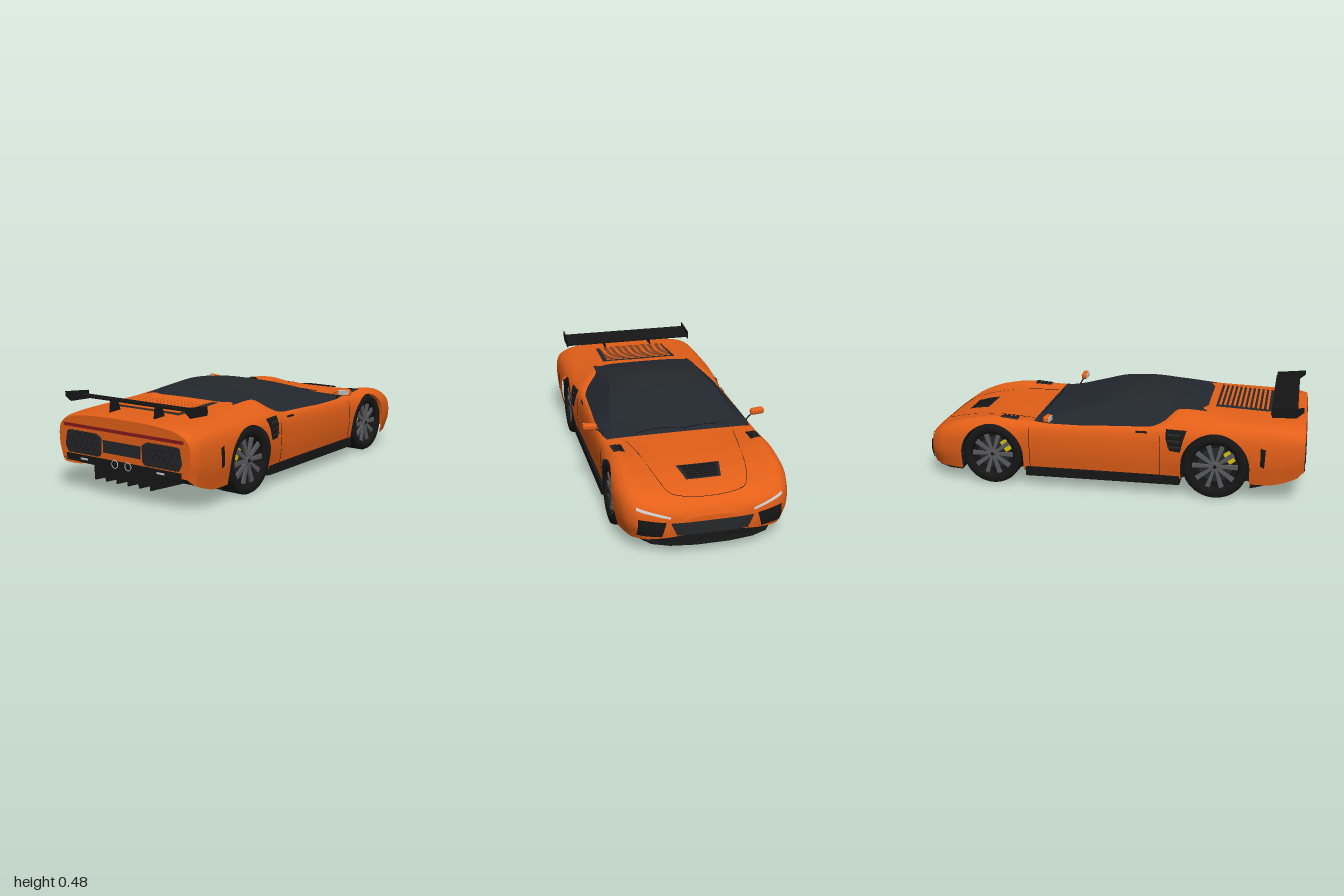
import * as THREE from 'three';
import { RoundedBoxGeometry } from 'three/addons/geometries/RoundedBoxGeometry.js';

const mat = (color) => new THREE.MeshStandardMaterial({ color, side: THREE.DoubleSide });
const ORANGE = mat(0xe25f18), BLACK = mat(0x161617), DARK = mat(0x26272a), GLASS = mat(0x22272e);
const GREY = mat(0x5a5a5c), YELLOW = mat(0xd8c010), RED = mat(0x86191c), WHITE = mat(0xcccccc);
const WHEELS = [{ name: 'front', z: -0.61, r: 0.157, w: 0.12, out: 0.415 }, { name: 'rear', z: 0.55, r: 0.165, w: 0.14, out: 0.426 }];
const GAP = 0.008;

// Body stations: z, sill x/y, waist x, shoulder x/y, crest x/y, deck x/y, centre y
const BODY = [
  [-1, .10, .10, .13, .125, .16, .11, .175, .07, .185, .187],
  [-.985, .22, .085, .26, .25, .185, .22, .205, .13, .215, .22],
  [-.95, .32, .075, .355, .345, .215, .31, .24, .2, .25, .25],
  [-.88, .375, .07, .402, .395, .25, .36, .285, .25, .285, .28],
  [-.75, .405, .07, .425, .418, .285, .372, .33, .27, .318, .31],
  [-.6, .405, .075, .426, .418, .305, .37, .35, .27, .332, .325],
  [-.4, .395, .08, .412, .407, .305, .38, .337, .27, .328, .328],
  [.2, .40, .085, .412, .405, .31, .385, .343, .28, .335, .335],
  [.36, .405, .085, .426, .415, .325, .375, .375, .30, .42, .41],
  [.55, .415, .085, .437, .425, .33, .378, .38, .285, .408, .415],
  [.8, .418, .085, .437, .423, .33, .378, .375, .27, .395, .402],
  [.95, .412, .125, .43, .417, .33, .368, .368, .26, .388, .395],
  [.99, .39, .16, .41, .4, .325, .352, .36, .25, .38, .388]];
// Cabin stations: z, belt x/y, roof edge x/y, centre y
const CABIN = [
  [-.39, .374, .34, .345, .343, .345], [-.3, .387, .335, .332, .358, .373], [-.15, .389, .335, .308, .4, .418],
  [0, .389, .335, .282, .44, .458], [.14, .389, .335, .26, .452, .48], [.3, .378, .345, .282, .434, .463],
  [.36, .3, .4, .285, .428, .45], [.49, .284, .4, .28, .415, .421]];

// Monotone cubic interpolation of a station table
function stationAt(table, z) {
  const n = table.length;
  let i = 0;
  while (i < n - 2 && z > table[i + 1][0]) i++;
  const h = table[i + 1][0] - table[i][0], t = THREE.MathUtils.clamp((z - table[i][0]) / h, 0, 1);
  const d = (k, c) => (table[k + 1][c] - table[k][c]) / (table[k + 1][0] - table[k][0]);
  const slope = (k, c) => {
    if (k === 0) return d(0, c);
    if (k === n - 1) return d(n - 2, c);
    const a = d(k - 1, c), b = d(k, c);
    return a * b <= 0 ? 0 : 2 * a * b / (a + b);
  };
  return table[i].map((v, c) => c === 0 ? z : (2 * t ** 3 - 3 * t * t + 1) * v + (t ** 3 - 2 * t * t + t) * h * slope(i, c)
    + (3 * t * t - 2 * t ** 3) * table[i + 1][c] + (t ** 3 - t * t) * h * slope(i + 1, c));
}

// Half section of the body as a polyline from sill to centre line
const cache = new Map();
function section(z) {
  if (!cache.has(z)) {
    const [, x0, y0, x1, x2, y2, x3, y3, x4, y4, y5] = stationAt(BODY, z);
    const pts = [[x0, y0], [x1, y0 + .5 * (y2 - y0)], [x2, y2], [x3, y3], [x4, y4], [0, y5], [-x4, y4]];
    const curve = new THREE.CatmullRomCurve3(pts.map(([x, y]) => new THREE.Vector3(x, y, z)));
    cache.set(z, Array.from({ length: 61 }, (_, i) => curve.getPoint(i / 60 * 5 / 6)));
  }
  return cache.get(z);
}
function paramAtY(y, z) {
  const s = section(z);
  if (y <= s[0].y) return 0;
  for (let i = 1; i < 61; i++) if (s[i].y >= y) return i - 1 + (y - s[i - 1].y) / (s[i].y - s[i - 1].y);
  return 60;
}
function pointAt(t, z) {
  const s = section(z), i = Math.min(59, Math.floor(t));
  return s[i].clone().lerp(s[i + 1], t - i);
}
// Projections on to the body from the side, the top and the nose
const sideX = (y, z) => pointAt(paramAtY(y, z), z).x;
function topY(x, z) {
  const s = section(z);
  for (let i = 59; i >= 0; i--) if (s[i].x >= Math.abs(x)) return THREE.MathUtils.lerp(s[i + 1].y, s[i].y, (Math.abs(x) - s[i + 1].x) / (s[i].x - s[i + 1].x));
  return s[0].y;
}
function noseZ(x, y) {
  let a = -1, b = -.6;
  for (let i = 0; i < 14; i++) {
    const m = (a + b) / 2, inside = y <= section(m)[60].y && sideX(y, m) >= Math.abs(x);
    if (inside) b = m; else a = m;
  }
  return b;
}
const onTop = (x, z) => [x, topY(x, z) + .004, z];
const onNose = (x, y) => [x, y, noseZ(x, y) - .007];
const onSide = (s) => (z, y) => [s * (sideX(y, z) + .004), y, z];

// Surface from a grid of points
function grid(nu, nv, fn) {
  const pos = [], idx = [];
  for (let i = 0; i <= nu; i++) for (let j = 0; j <= nv; j++) {
    pos.push(...fn(i / nu, j / nv));
    const a = i * (nv + 1) + j, b = a + nv + 1;
    if (i < nu && j < nv) idx.push(a, b, a + 1, b, b + 1, a + 1);
  }
  const g = new THREE.BufferGeometry();
  g.setAttribute('position', new THREE.Float32BufferAttribute(pos, 3));
  g.setIndex(idx);
  g.computeVertexNormals();
  return g;
}
// Four-cornered panel laid on the body
function patch(c, project) {
  const mix = THREE.MathUtils.lerp;
  return grid(14, 8, (u, v) => project(...[0, 1].map((k) => mix(mix(c[0][k], c[1][k], u), mix(c[3][k], c[2][k], u), v))));
}
const shape = (pts) => new THREE.Shape(pts.map(([x, y]) => new THREE.Vector2(x, y)));
const extrude = (pts, depth) => new THREE.ExtrudeGeometry(shape(pts), { depth, bevelEnabled: false });
// Plate drawn in (z, y) and centred on x; plate drawn in half plan (x, z)
const sidePlate = (pts, x, depth) => extrude(pts, depth).rotateY(-Math.PI / 2).translate(x + depth / 2, 0, 0);
const planPlate = (half, top, depth) => extrude([...half, ...half.map(([x, z]) => [-x, z]).reverse()], depth).rotateX(Math.PI / 2).translate(0, top, 0);

export function createModel() {
  const car = new THREE.Group();
  car.name = 'sportsCar';
  const add = (name, geo, material, parent = car) => {
    const m = new THREE.Mesh(geo, material);
    m.name = name;
    parent.add(m);
  };
  const box = (name, w, h, d, x, y, z, m) => add(name, new THREE.BoxGeometry(w, h, d).translate(x, y, z), m);
  const seam = (name, pts, r = .0013) => add(name, new THREE.TubeGeometry(new THREE.CatmullRomCurve3(pts.map((p) => new THREE.Vector3(...p))), 40, r, 5), BLACK);

  // Body shell in lengths: plain ones, and ones cut away over a wheel; rows above the crest stay fixed
  const shell = (name, n, zAt, lowT) => add(name, grid(n, 64, (u, v) => {
    const z = zAt(u), s = 2 * v - 1, k = Math.abs(s);
    const t = k > .5 ? 36 + (lowT(z) - 36) * (k - .5) * 2 : 60 - 48 * k;
    const p = pointAt(t, z);
    return [Math.sign(s) * p.x, p.y, z];
  }), ORANGE);
  const [fw, rw] = WHEELS.map(({ z, r }) => [z - r - GAP, z + r + GAP]);
  for (const [name, a, b, n] of [['noseTip', -1, -.94, 12], ['nose', -.94, fw[0], 10], ['middle', fw[1], rw[0], 36], ['tail', rw[1], .99, 16]])
    shell(name + 'Shell', n, (u) => a + (b - a) * u, () => 0);
  for (const { name, z, r } of WHEELS) {
    const R = r + GAP;
    shell(name + 'WingShell', 32, (u) => z - R * Math.cos(u * Math.PI), (q) => paramAtY(r + Math.sqrt(Math.max(0, R * R - (q - z) ** 2)), q));
  }
  for (const [name, z] of [['nosePanel', -1], ['tailPanel', .99]]) {
    const half = section(z).map((p) => [p.x, p.y]);
    add(name, new THREE.ShapeGeometry(shape([...half, ...half.slice(0, -1).reverse().map(([x, y]) => [-x, y])])).translate(0, 0, z), ORANGE);
  }

  // Cabin: windscreen, roof and rear window, then side windows
  for (const [name, a, b, m] of [['windscreen', -.39, 0, GLASS], ['roof', 0, .31, DARK], ['rearWindow', .31, .49, GLASS]])
    add(name, grid(14, 20, (u, v) => {
      const z = a + (b - a) * u, [, , , xr, yr, yc] = stationAt(CABIN, z), s = 2 * v - 1;
      return [s * xr, yc + (yr - yc) * s * s, z];
    }), m);
  for (const s of [-1, 1]) add('sideWindow', grid(40, 4, (u, v) => {
    const z = -.39 + .88 * u, [, xb, yb, xr, yr] = stationAt(CABIN, z), k = s > 0 ? v : 1 - v;
    return [s * (xr + (xb - xr) * k), yr + (yb - yr) * k, z];
  }), GLASS);
  for (const x of [-.14, .1]) seam('wiper', [[x - .12, .357, -.365], [x, .362, -.36], [x + .12, .355, -.372]], .002);

  // Floor, splitter and rear diffuser
  add('floor', planPlate([[.30, -.92], [.35, -.85], [.36, -.79], [.28, -.79], [.28, -.43], [.4, -.43], [.4, .37], [.28, .37], [.28, .73]], .09, .04), BLACK);
  add('frontSplitter', planPlate([[.08, -1], [.2, -.982], [.28, -.945], [.33, -.87], [.34, -.8]], .05, .01), BLACK);
  add('splitterRiser', planPlate([[.08, -.98], [.2, -.965], [.28, -.925], [.33, -.86], [.34, -.8]], .11, .06), BLACK);
  add('diffuser', grid(8, 2, (u, v) => [(2 * v - 1) * (.405 - .015 * u), .06 + .1 * u ** 1.3, .725 + .265 * u]), BLACK);
  for (const s of [-1, 1]) {
    for (const x of [.035, .105, .175]) add('diffuserFin', sidePlate([[.7, .055], [.99, .075], [.995, .165], [.85, .09]], s * x, .006), BLACK);
    box('sideSkirt', .035, .045, .8, s * .398, .078, -.03, BLACK);
  }

  // Wheels with tyres, spokes, brakes and arch liners
  for (const { name, z, r, w, out } of WHEELS) for (const s of [-1, 1]) {
    const wheel = new THREE.Group();
    wheel.name = name + 'Wheel';
    wheel.position.set(s * (out - w / 2), r, z);
    car.add(wheel);
    const spin = (g) => g.rotateZ(-s * Math.PI / 2);
    const h = w / 2, ri = r * .74;
    const profile = [[ri, -h + .01], [r * .8, -h], [r * .95, -h], [r, -h + .014], [r, h - .014], [r * .95, h], [r * .8, h], [ri, h - .008], [ri - .006, h - .012], [ri - .008, h - .05]];
    add('tyre', spin(new THREE.LatheGeometry(profile.map(([a, b]) => new THREE.Vector2(a, b)), 48)), BLACK, wheel);
    add('rimBack', spin(new THREE.CylinderGeometry(ri, ri, .01, 40).translate(0, h - .055, 0)), BLACK, wheel);
    add('innerFace', spin(new THREE.CylinderGeometry(ri, ri, .01, 40).translate(0, -h + .012, 0)), BLACK, wheel);
    add('brakeDisc', spin(new THREE.CylinderGeometry(ri * .72, ri * .72, .01, 32).translate(0, h - .046, 0)), DARK, wheel);
    add('hub', spin(new THREE.CylinderGeometry(.018, .026, .02, 20).translate(0, h - .02, 0)), GREY, wheel);
    add('hubCap', spin(new THREE.CylinderGeometry(.009, .009, .004, 16).translate(0, h - .009, 0)), BLACK, wheel);
    for (let k = 0; k < 10; k++)
      add('spoke', extrude([[.014, -.006], [ri - .008, -.012], [ri - .008, .012], [.014, .006]], .012).rotateY(Math.PI / 2).translate(s * (h - .02) - .006, 0, 0).rotateX(k * Math.PI / 5), GREY, wheel);
    add('brakeCaliper', new THREE.BoxGeometry(.014, .034, .06).translate(s * (h - .036), ri * .68, 0).rotateX(1), YELLOW, wheel);
    const R = r + GAP, x0 = .265, x1 = .385;
    add('archLiner', grid(24, 1, (u, v) => [s * (x0 + (x1 - x0) * v), r + R * Math.sin(u * Math.PI), z + R * Math.cos(u * Math.PI)]), BLACK);
    add('archWall', new THREE.CircleGeometry(R, 32, 0, Math.PI).rotateY(Math.PI / 2).translate(s * x0, r, z), BLACK);
    box('archWallLower', .004, r - .06, 2 * R, s * x0, (r + .06) / 2, z, BLACK);
  }

  // Nose: grille, intakes and headlights
  add('frontGrille', patch([[-.2, .165], [.2, .165], [.17, .1], [-.17, .1]], onNose), DARK);
  for (const s of [-1, 1]) {
    add('frontIntake', patch([[s * .22, .17], [s * .345, .185], [s * .35, .1], [s * .24, .095]], onNose), BLACK);
    add('headlight', patch([[s * .2, .197], [s * .35, .238], [s * .352, .225], [s * .2, .185]], onNose), WHITE);
  }

  // Bonnet and wing vents, seams
  add('bonnetVent', patch([[-.085, -.835], [.085, -.835], [.108, -.72], [-.108, -.72]], onTop), DARK);
  for (let i = 0; i < 6; i++) box('bonnetVentSlat', .15 + i * .006, .006, .008, 0, topY(0, -.82 + i * .017) + .006, -.82 + i * .017, BLACK);
  seam('bonnetSeam', [[.28, -.41], [.25, -.6], [.22, -.8], [.18, -.91], [.09, -.935], [0, -.94], [-.09, -.935], [-.18, -.91], [-.22, -.8], [-.25, -.6], [-.28, -.41]].map(([x, z]) => [x, topY(x, z), z]));
  for (const s of [-1, 1]) {
    const side = onSide(s);
    add('wingVent', patch([[s * .32, -.57], [s * .375, -.57], [s * .38, -.475], [s * .325, -.475]], onTop), DARK);
    for (let i = 0; i < 4; i++) box('wingVentSlat', .045, .006, .007, s * .345, topY(.345, -.555 + i * .022) + .004, -.555 + i * .022, BLACK);
    add('sideIntake', patch([[.3, .345], [.405, .345], [.39, .3], [.3, .3]], side), BLACK);
    add('sideIntake', patch([[.3, .3], [.39, .3], [.375, .235], [.32, .24]], side), BLACK);
    for (let i = 0; i < 3; i++) add('intakeSlat', patch([[.31, .328 - i * .03], [.375, .325 - i * .03], [.375, .315 - i * .03], [.31, .318 - i * .03]], (z, y) => [side(z, y)[0] + s * .005, y, z]), DARK);
    add('rearSideVent', patch([[.775, .285], [.8, .275], [.795, .18], [.775, .19]], side), BLACK);
    add('doorHandle', patch([[.145, .328], [.205, .328], [.205, .318], [.145, .318]], side), BLACK);
    for (const z of [-.41, .27]) seam('doorSeam', [.1, .16, .22, .28, .31].map((y) => [s * sideX(y, z), y, z]));

    // Door mirrors
    add('mirrorShell', new RoundedBoxGeometry(.074, .035, .034, 4, .014).rotateZ(s * .08).translate(s * .444, .38, -.3), ORANGE);
    add('mirrorGlass', new RoundedBoxGeometry(.064, .027, .006, 3, .0029).rotateZ(s * .08).translate(s * .444, .38, -.284), WHITE);
    seam('mirrorStalk', [[s * .375, .335, -.32], [s * .395, .355, -.31], [s * .425, .372, -.3]], .0035);
  }

  // Louvred engine cover
  add('engineCover', patch([[-.215, .53], [.215, .53], [.205, .82], [-.205, .82]], (x, z) => [x, topY(x, z) + .007, z]), DARK);
  for (let i = 0; i < 11; i++) {
    const z = .55 + i * .024;
    add('louvre', new THREE.BoxGeometry(.38, .004, .012).rotateX(.3).translate(0, topY(0, z) + .011, z), ORANGE);
  }

  // Rear wing
  add('rearWing', sidePlate([[.815, .437], [.87, .443], [.945, .459], [.945, .468], [.87, .456], [.815, .448]], 0, .75), BLACK);
  for (const s of [-1, 1]) {
    add('wingEndPlate', sidePlate([[.82, .425], [.94, .43], [.975, .46], [.975, .483], [.82, .468]], s * .375, .005), BLACK);
    add('wingStrut', sidePlate([[.84, .385], [.92, .385], [.91, .452], [.86, .444]], s * .14, .006), BLACK);
  }

  // Tail: light bar, honeycomb lamps, plate recess, exhausts
  box('lightBar', .75, .015, .012, 0, .327, .989, RED);
  box('plateRecess', .235, .06, .008, 0, .247, .99, DARK);
  box('tailStrip', .72, .035, .008, 0, .168, .99, BLACK);
  for (const s of [-1, 1]) {
    add('tailLamp', extrude([[.13, .21], [.145, .193], [.345, .193], [.365, .225], [.352, .295], [.34, .302], [.16, .302], [.13, .285]].map(([x, y]) => [s * x, y]), .009).translate(0, 0, .987), DARK);
    for (let r = 0; r < 4; r++) for (let c = 0; c < 6 - r % 2; c++)
      add('lampCell', new THREE.RingGeometry(.0165, .0185, 6).rotateZ(Math.PI / 6).translate(s * (.165 + c * .033 + (r % 2) * .0165), .208 + r * .0265, .9965), BLACK);
    add('exhaustRing', new THREE.TorusGeometry(.019, .002, 8, 28).translate(s * .042, .17, .996), WHITE);
    add('exhaustPipe', new THREE.CylinderGeometry(.018, .018, .02, 24).rotateX(Math.PI / 2).translate(s * .042, .17, .986), BLACK);
    box('reverseLight', .045, .009, .008, s * .242, .168, .993, WHITE);
  }
  return car;
}
